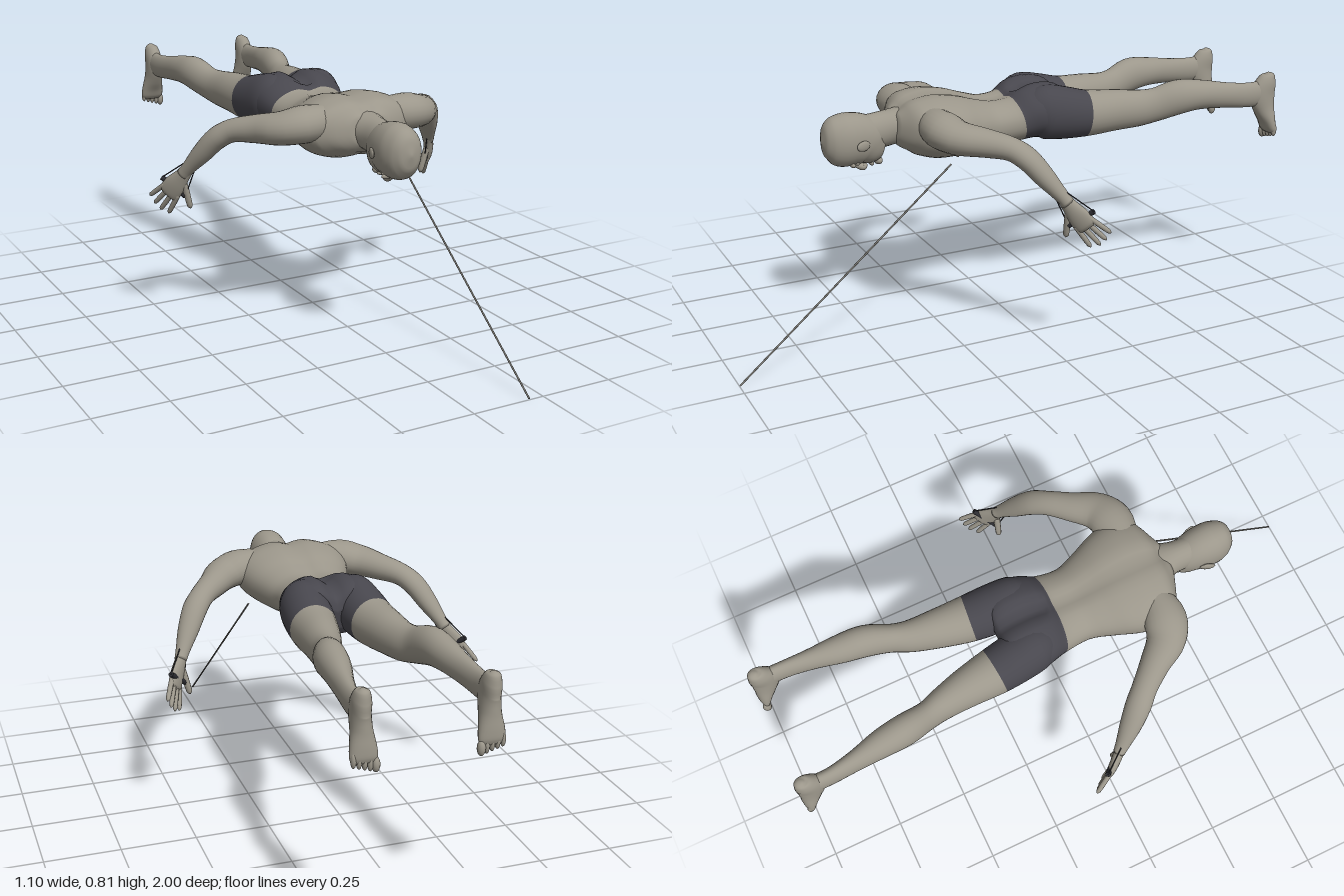
import * as THREE from 'three';

const V = (x, y, z) => new THREE.Vector3(x, y, z);
const mat = (name, color) => Object.assign(new THREE.MeshStandardMaterial({ color }), { name });

// Smooth closed loft through sections [x, y, z, sideRadius, upRadius].
// splitZ switches from material 0 to material 1 behind that z.
function loft(sections, up, { steps = 4, sides = 24, power = 2, splitZ = null } = {}) {
  const n = (sections.length - 1) * steps;
  const pts = new THREE.CatmullRomCurve3(sections.map(s => V(s[0], s[1], s[2])), false, 'centripetal');
  const rad = new THREE.CatmullRomCurve3(sections.map((s, i) => V(s[3], s[4], i * 0.03)), false, 'centripetal');
  const pos = [], idx = [], geo = new THREE.BufferGeometry();
  const sp = a => Math.sign(a) * Math.pow(Math.abs(a), 2 / power);
  for (let i = 0; i <= n; i++) {
    const c = pts.getPoint(i / n), r = rad.getPoint(i / n), t = pts.getTangent(i / n);
    const side = V(0, 0, 0).crossVectors(up, t).normalize();
    const other = V(0, 0, 0).crossVectors(t, side);
    for (let j = 0; j < sides; j++) {
      const a = j / sides * Math.PI * 2;
      const p = c.clone().addScaledVector(side, r.x * sp(Math.cos(a))).addScaledVector(other, r.y * sp(Math.sin(a)));
      pos.push(p.x, p.y, p.z);
    }
  }
  const first = pts.getPoint(0), last = pts.getPoint(1);
  pos.push(first.x, first.y, first.z, last.x, last.y, last.z);
  const c0 = (n + 1) * sides, c1 = c0 + 1;
  let split = -1;
  for (let j = 0; j < sides; j++) idx.push(c0, (j + 1) % sides, j);
  for (let i = 0; i < n; i++) {
    if (split < 0 && splitZ !== null && pts.getPoint((i + 0.5) / n).z < splitZ) split = idx.length;
    for (let j = 0; j < sides; j++) {
      const k = (j + 1) % sides, a = i * sides + j, b = i * sides + k;
      idx.push(a, b, a + sides, b, b + sides, a + sides);
    }
  }
  for (let j = 0; j < sides; j++) idx.push(c1, n * sides + j, n * sides + (j + 1) % sides);
  geo.setAttribute('position', new THREE.Float32BufferAttribute(pos, 3));
  geo.setIndex(idx);
  if (split >= 0) {
    geo.addGroup(0, split, 0);
    geo.addGroup(split, idx.length - split, 1);
  }
  geo.computeVertexNormals();
  return geo;
}

export function createModel() {
  const model = new THREE.Group();
  const skin = mat('skin grey', 0x9c978b), cloth = mat('shorts charcoal', 0x48474e);
  const black = mat('grip black', 0x2c2c31), rodGrey = mat('rod grey', 0x77756f);
  const Y = V(0, 1, 0);

  const add = (name, geo, material, parent = model) => {
    const m = new THREE.Mesh(geo, material);
    m.name = name;
    parent.add(m);
    return m;
  };
  const ball = (name, p, r, parent = model) => {
    const m = add(name, new THREE.SphereGeometry(1, 16, 12), skin, parent);
    m.position.set(...p);
    m.scale.set(...r);
    return m;
  };
  const rod = (name, a, b, r, material, parent = model) => {
    const m = add(name, new THREE.CylinderGeometry(r, r, a.distanceTo(b), 10), material, parent);
    m.position.copy(a).lerp(b, 0.5);
    m.quaternion.setFromUnitVectors(Y, b.clone().sub(a).normalize());
    return m;
  };

  // Torso and seat: [z, half width, bottom, top]
  const torso = loft([
    [0.39, 0.06, 0.67, 0.768], [0.362, 0.13, 0.642, 0.79], [0.33, 0.18, 0.622, 0.807], [0.27, 0.2, 0.604, 0.815],
    [0.2, 0.184, 0.598, 0.806], [0.13, 0.155, 0.6, 0.786], [0.05, 0.129, 0.607, 0.768], [-0.035, 0.138, 0.612, 0.776],
    [-0.1, 0.158, 0.613, 0.812], [-0.16, 0.162, 0.617, 0.81], [-0.2, 0.14, 0.63, 0.785], [-0.215, 0.08, 0.66, 0.75],
  ].map(([z, w, b, t]) => [0, (b + t) / 2, z, w, (t - b) / 2]), Y, { sides: 48, power: 2.2, splitZ: -0.035 });
  // Groove along the spine and between the buttocks, shallower one on the chest
  const p = torso.attributes.position;
  for (let i = 0; i < p.count; i++) {
    const x = p.getX(i), y = p.getY(i), z = p.getZ(i);
    const fall = Math.exp(-((x / 0.03) ** 2));
    const deep = z < -0.05 ? 0.035 : 0.014;
    if (y > 0.74) p.setY(i, y - deep * fall);
    else if (y < 0.64 && z > 0.12) p.setY(i, y + 0.008 * fall);
  }
  torso.computeVertexNormals();
  add('torso and shorts seat', torso, [skin, cloth]);

  // Neck and head
  add('neck', loft([[0, 0.715, 0.33, 0.09, 0.06], [0, 0.712, 0.375, 0.064, 0.058],
    [0, 0.706, 0.42, 0.05, 0.06], [0, 0.7, 0.48, 0.048, 0.06]], Y), skin);
  add('head', loft([[0, 0.65, 0.418, 0.012, 0.012], [0, 0.652, 0.427, 0.036, 0.045], [0, 0.66, 0.45, 0.05, 0.066],
    [0, 0.676, 0.48, 0.06, 0.08], [0, 0.687, 0.52, 0.066, 0.086], [0, 0.688, 0.56, 0.067, 0.088],
    [0, 0.69, 0.597, 0.056, 0.077], [0, 0.69, 0.62, 0.036, 0.05], [0, 0.69, 0.63, 0.005, 0.007]],
    Y, { sides: 32, power: 2.1 }), skin);
  add('nose', loft([[0, 0.604, 0.53, 0.005, 0.006], [0, 0.594, 0.508, 0.009, 0.01],
    [0, 0.588, 0.49, 0.014, 0.012], [0, 0.598, 0.48, 0.006, 0.006]], Y), skin);
  ball('lips', [0, 0.598, 0.463], [0.021, 0.009, 0.008]);
  ball('chin', [0, 0.603, 0.438], [0.022, 0.014, 0.014]);

  for (const s of [1, -1]) {
    const label = s > 0 ? 'left' : 'right';
    const M = (x, y, z) => V(s * x, y, z);
    const flip = list => list.map(([x, ...r]) => [s * x, ...r]);
    const side = new THREE.Group();
    side.name = label + ' limbs';
    model.add(side);

    // Face details
    ball(label + ' brow', [s * 0.028, 0.609, 0.538], [0.022, 0.009, 0.008], side);
    ball(label + ' eye', [s * 0.027, 0.612, 0.52], [0.012, 0.008, 0.008], side);
    const ear = ball(label + ' ear', [s * 0.07, 0.68, 0.512], [0.007, 0.017, 0.026], side);
    ear.rotation.y = s * 0.3;

    // Arm
    add(label + ' arm', loft(flip([[0.1, 0.735, 0.29, 0.05, 0.055], [0.19, 0.735, 0.288, 0.07, 0.06],
      [0.25, 0.724, 0.262, 0.064, 0.054], [0.305, 0.714, 0.195, 0.049, 0.046], [0.36, 0.7, 0.13, 0.041, 0.038],
      [0.395, 0.672, 0.092, 0.042, 0.037], [0.43, 0.617, 0.05, 0.036, 0.033], [0.462, 0.56, 0.008, 0.024, 0.023],
      [0.475, 0.535, -0.01, 0.02, 0.022]]), Y), skin, side);

    // Hand: spread fingers along "reach", fanned along "across"
    const across = M(0.577, 0.577, -0.577), reach = M(0.32, -0.73, -0.6), out = M(0.78, -0.16, 0.62);
    const knuckle = M(0.507, 0.465, -0.056);
    add(label + ' palm', loft(flip([[0.462, 0.56, 0.008, 0.018, 0.021], [0.475, 0.532, -0.01, 0.017, 0.025],
      [0.494, 0.495, -0.035, 0.016, 0.036], [0.507, 0.465, -0.056, 0.013, 0.037],
      [0.511, 0.456, -0.063, 0.006, 0.028]]), across), skin, side);
    const finger = (name, a, b, r) => {
      const at = (t, q) => [...a.clone().lerp(b, t).toArray(), q, q];
      add(name, loft([at(0, r), at(0.5, r), at(0.9, r * 0.85), at(1, r * 0.2)], across, { sides: 10 }), skin, side);
    };
    [0.076, 0.086, 0.08, 0.066].forEach((len, i) => {
      const k = i - 1.5;
      const base = knuckle.clone().addScaledVector(across, k * 0.019);
      const tip = base.clone().addScaledVector(reach, len).addScaledVector(across, k * 0.01).addScaledVector(out, -0.006);
      finger(label + ' finger ' + (i + 1), base.addScaledVector(reach, -0.015), tip, 0.0085);
    });
    finger(label + ' thumb', M(0.472, 0.508, -0.012), M(0.448, 0.412, -0.018), 0.011);

    // Pull handle across the palm, with thin straps to the wrist
    const grip = M(0.507, 0.483, -0.036).addScaledVector(out, -0.016);
    const ends = [-0.05, 0.05].map(d => grip.clone().addScaledVector(across, d));
    rod(label + ' grip bar', ends[0], ends[1], 0.009, black, side);
    ends.forEach((e, i) => {
      const wrist = M(0.462, 0.56, 0.008).addScaledVector(across, i ? 0.022 : -0.022);
      rod(label + ' grip strap', wrist, e, 0.002, black, side);
    });

    // Leg with shorts leg
    add(label + ' leg and shorts leg', loft(flip([[0.085, 0.71, -0.06, 0.05, 0.06], [0.086, 0.715, -0.12, 0.078, 0.092],
      [0.092, 0.705, -0.19, 0.081, 0.09], [0.1, 0.694, -0.275, 0.077, 0.08], [0.112, 0.694, -0.38, 0.064, 0.072],
      [0.127, 0.693, -0.47, 0.051, 0.064], [0.144, 0.702, -0.53, 0.044, 0.059], [0.163, 0.724, -0.61, 0.05, 0.061],
      [0.172, 0.725, -0.69, 0.046, 0.052], [0.185, 0.714, -0.79, 0.032, 0.045], [0.194, 0.705, -0.88, 0.025, 0.044],
      [0.194, 0.705, -0.95, 0.025, 0.046]]), Y, { sides: 28, splitZ: -0.275 }), [cloth, skin], side);

    // Foot pointing down, sole facing back
    add(label + ' foot', loft(flip([[0.194, 0.777, -0.967, 0.006, 0.007], [0.194, 0.768, -0.967, 0.02, 0.024],
      [0.194, 0.74, -0.957, 0.028, 0.04], [0.194, 0.7, -0.945, 0.029, 0.05], [0.193, 0.65, -0.955, 0.032, 0.04],
      [0.193, 0.605, -0.97, 0.04, 0.027], [0.193, 0.575, -0.977, 0.042, 0.019], [0.193, 0.56, -0.98, 0.036, 0.01]]),
      V(0, 0, 1)), skin, side);
    for (let i = 0; i < 5; i++) {
      const x = 0.159 + i * 0.0165, r = i ? 0.0085 : 0.0125, y = 0.546 + i * 0.005;
      ball(label + ' toe ' + (i + 1), [s * x, y + 0.006, -0.982], [r, 0.024, r + 0.002], side);
    }
  }

  // Slender rod from the chest down to the ground
  rod('support rod', V(0.2, 0.002, 0.998), V(0.165, 0.61, 0.25), 0.003, rodGrey);
  return model;
}
